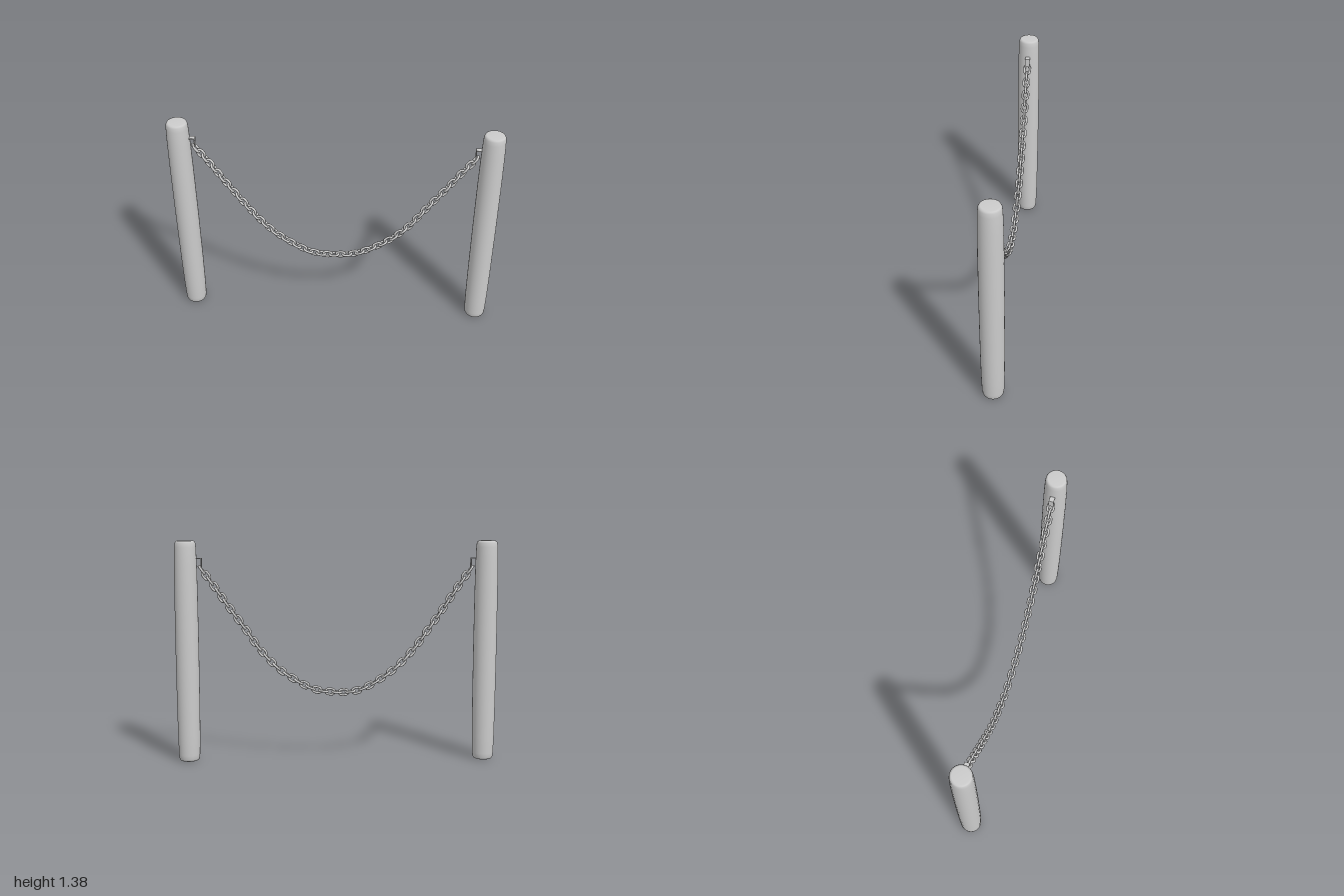
import * as THREE from 'three';

const material = new THREE.MeshStandardMaterial({ color: 0xcccccc });

function addMesh(parent, name, geometry) {
  const mesh = new THREE.Mesh(geometry, material);
  mesh.name = name;
  parent.add(mesh);
  return mesh;
}

// Slightly barrel-shaped round post with softened ends
function postGeometry() {
  const profile = [
    [0, 0], [0.05, 0], [0.058, 0.004], [0.063, 0.014], [0.066, 0.04], [0.069, 0.15],
    [0.071, 0.35], [0.072, 0.7], [0.071, 1.05], [0.069, 1.24],
    [0.066, 1.335], [0.063, 1.361], [0.058, 1.371], [0.05, 1.375], [0, 1.375],
  ].map(([r, y]) => new THREE.Vector2(r, y));
  return new THREE.LatheGeometry(profile, 32);
}

// Oval chain link lying in the XY plane, long axis on X
function linkGeometry() {
  const bend = 0.0175, straight = 0.0105, wire = 0.0075;
  const points = [];
  for (const side of [1, -1]) {
    for (let i = 0; i <= 6; i++) {
      const a = -Math.PI / 2 + (Math.PI * i) / 6;
      points.push(new THREE.Vector3(side * (straight + bend * Math.cos(a)), side * bend * Math.sin(a), 0));
    }
  }
  return new THREE.TubeGeometry(new THREE.CatmullRomCurve3(points, true), 28, wire, 8, true);
}

// Flat strip bent out of the post, down and back in
function bracketGeometry() {
  const outline = new THREE.Shape([
    [0.08, 1.27], [-0.005, 1.27], [-0.005, 1.215], [0.02, 1.215], [0.02, 1.22],
    [0, 1.22], [0, 1.265], [0.08, 1.265],
  ].map(([x, y]) => new THREE.Vector2(x, y)));
  const geometry = new THREE.ExtrudeGeometry(outline, { depth: 0.03, bevelEnabled: false });
  return geometry.translate(0, 0, -0.015);
}

export function createModel() {
  const model = new THREE.Group();
  model.name = 'chainBarrier';

  // Posts and brackets, one pair on each side
  const post = postGeometry();
  const bracket = bracketGeometry();
  for (const [side, label] of [[1, 'left'], [-1, 'right']]) {
    addMesh(model, label + 'Post', post).position.x = side * 0.928;
    const hook = addMesh(model, label + 'Bracket', bracket);
    hook.position.x = side * 0.833;
    if (side < 0) hook.rotation.y = Math.PI;
  }

  // Hanging path of the chain
  const path = new THREE.CatmullRomCurve3([
    [-0.825, 1.195], [-0.757, 1.1], [-0.666, 0.963], [-0.575, 0.832], [-0.479, 0.7],
    [-0.366, 0.582], [-0.217, 0.479], [-0.136, 0.443], [-0.045, 0.43], [0.04, 0.434],
    [0.131, 0.448], [0.217, 0.486], [0.366, 0.586], [0.479, 0.707], [0.57, 0.837],
    [0.666, 0.969], [0.757, 1.1], [0.828, 1.197],
  ].map(([x, y]) => new THREE.Vector3(x, y, 0)));
  path.arcLengthDivisions = 600;

  // Links alternate between lying in the chain's plane and standing across it
  const chain = new THREE.Group();
  chain.name = 'chain';
  model.add(chain);
  const link = linkGeometry();
  const steps = 56;
  for (let i = 0; i <= steps; i++) {
    const tangent = path.getTangentAt(i / steps);
    const mesh = addMesh(chain, 'chainLink', link);
    mesh.position.copy(path.getPointAt(i / steps));
    mesh.rotation.set(i % 2 ? 0 : Math.PI / 2, 0, Math.atan2(tangent.y, tangent.x), 'ZYX');
  }
  return model;
}
